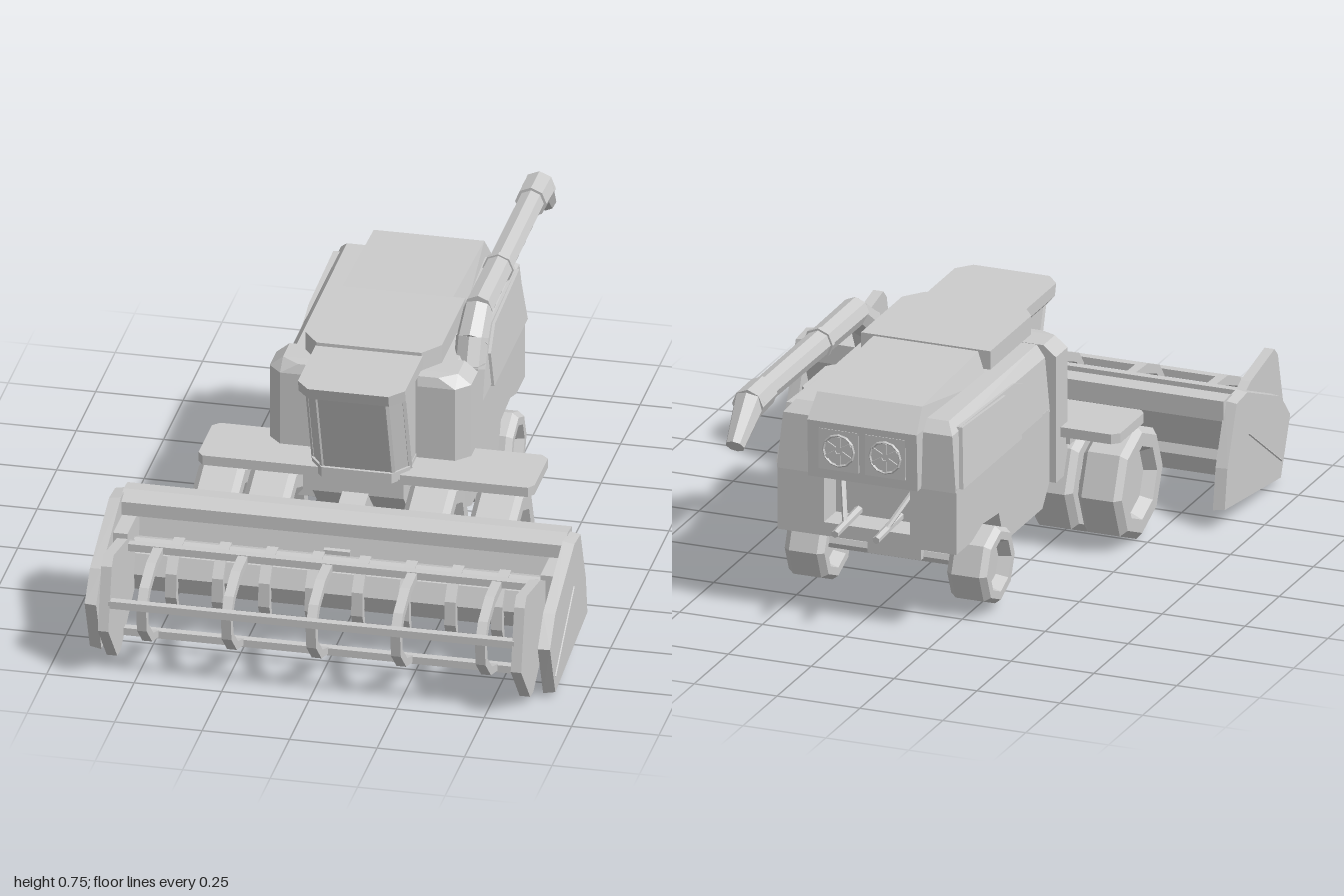
import * as THREE from 'three';
import { ConvexGeometry } from 'three/addons/geometries/ConvexGeometry.js';

const mat = new THREE.MeshStandardMaterial({ color: 0xcccccc, flatShading: true });
const V = (x, y, z) => new THREE.Vector3(x, y, z);

function add(parent, name, geo) {
  const m = new THREE.Mesh(geo, mat);
  m.name = name;
  parent.add(m);
  return m;
}
// Box given by its limits on each axis
function box(parent, name, x0, x1, y0, y1, z0, z1) {
  const m = add(parent, name, new THREE.BoxGeometry(x1 - x0, y1 - y0, z1 - z0));
  m.position.set((x0 + x1) / 2, (y0 + y1) / 2, (z0 + z1) / 2);
  return m;
}
// Side profile of [z, y] points, extruded from x0 to x1
function prism(parent, name, pts, x0, x1) {
  const shape = new THREE.Shape(pts.map(p => new THREE.Vector2(p[0], p[1])));
  const g = new THREE.ExtrudeGeometry(shape, { depth: x1 - x0, bevelEnabled: false });
  g.rotateY(-Math.PI / 2).translate(x1, 0, 0);
  return add(parent, name, g);
}
// Convex solid from [x, y, z] points, mirrored in x
function hull(parent, name, pts) {
  return add(parent, name, new ConvexGeometry(pts.flatMap(([x, y, z]) => [V(x, y, z), V(-x, y, z)])));
}
// Straight round bar between two points
function rod(parent, name, a, b, r0, r1 = r0, sides = 8) {
  const d = b.clone().sub(a);
  const m = add(parent, name, new THREE.CylinderGeometry(r1, r0, d.length(), sides));
  m.position.copy(a).add(b).multiplyScalar(0.5);
  m.quaternion.setFromUnitVectors(V(0, 1, 0), d.normalize());
  return m;
}
// Octagonal wheel with a dished rim
function wheel(parent, name, x, y, z, r, w, rim) {
  const h = w / 2, d = 0.035;
  const half = [[0, h - d], [rim * 0.85, h - d], [rim, h], [r * 0.88, h], [r, h - 0.018]];
  const pts = [...half.map(p => [p[0], -p[1]]), ...half.reverse()];
  add(parent, name, new THREE.LatheGeometry(pts.map(p => new THREE.Vector2(p[0], p[1])), 8).rotateZ(Math.PI / 2))
    .position.set(x, y, z);
}

function buildHeader() {
  const h = new THREE.Group();
  h.name = 'header';
  // Back wall with top beam, sloping down to the drum
  prism(h, 'backWall', [[0.48, 0.36], [0.48, 0.3], [0.53, 0.18], [0.545, 0.19], [0.515, 0.29],
    [0.575, 0.305], [0.575, 0.345], [0.53, 0.365]], -0.635, 0.635);
  rod(h, 'augerDrum', V(-0.6, 0.17, 0.59), V(0.6, 0.17, 0.59), 0.078);
  // Curved drum fingers
  for (let i = 0; i < 8; i++) {
    const x = -0.465 + i * 0.133;
    prism(h, 'drumFinger', [[0.57, 0.25], [0.64, 0.245], [0.685, 0.19], [0.69, 0.12], [0.66, 0.065],
      [0.65, 0.07], [0.665, 0.13], [0.65, 0.18], [0.62, 0.21], [0.57, 0.22]], x - 0.016, x + 0.016);
  }
  // Reel rails and the curved arms that join them
  for (const [y, z] of [[0.29, 0.73], [0.225, 0.965], [0.055, 0.785]])
    box(h, 'reelRail', -0.58, 0.58, y - 0.011, y + 0.011, z - 0.012, z + 0.012);
  for (let i = -2; i <= 2; i++) {
    const x = i * 0.242 - 0.005;
    prism(h, 'reelArm', [[0.72, 0.3], [0.83, 0.295], [0.92, 0.26], [0.96, 0.21], [0.95, 0.14], [0.88, 0.075],
      [0.785, 0.045], [0.785, 0.065], [0.865, 0.095], [0.925, 0.15], [0.93, 0.205], [0.9, 0.24],
      [0.82, 0.27], [0.72, 0.275]], x - 0.014, x + 0.014);
  }
  // End plates and outer shields
  for (const s of [-1, 1]) {
    const span = (a, b) => s > 0 ? [a, b] : [-b, -a];
    prism(h, 'endPlate', [[0.995, 0.15], [0.95, 0.33], [0.925, 0.355], [0.75, 0.32], [0.65, 0.27],
      [0.66, 0.12], [0.84, 0.015], [0.88, 0.02]], ...span(0.575, 0.605));
    const ring = [[0.9, 0.18], [0.83, 0.26], [0.58, 0.362], [0.5, 0.355], [0.43, 0.18], [0.41, 0.06], [0.83, 0.01], [0.85, 0.07]];
    const pts = ring.flatMap(([z, y]) => [V(s * 0.631, y, z),
      V(s * 0.665, 0.18 + (y - 0.18) * 0.97, 0.64 + (z - 0.64) * 0.98)]);
    add(h, 'sideShield', new ConvexGeometry(pts));
    rod(h, 'shieldRidge', V(s * 0.664, 0.065, 0.83), V(s * 0.664, 0.23, 0.59), 0.004, 0.004, 4);
    box(h, 'plateLink', ...span(0.59, 0.635), 0.18, 0.3, 0.53, 0.68);
  }
  return h;
}

function buildBody() {
  const b = new THREE.Group();
  b.name = 'body';
  // Lower hull: core plus side walls that leave a recess at the back
  const low = back => [[0.05, 0.44], [0.05, 0.22], [0, 0.16], [-0.28, 0.16], [-0.32, 0.26], [-0.44, 0.27],
    [-0.52, 0.245], [back, 0.245], [back, 0.44]];
  prism(b, 'lowerBody', low(-0.54), -0.2, 0.2);
  for (const [a, c] of [[-0.27, -0.13], [0.13, 0.27]]) prism(b, 'sideWall', low(-0.63), a, c);
  box(b, 'rearSill', -0.13, 0.13, 0.245, 0.285, -0.63, -0.53);
  // Upper hull, tapering inward
  hull(b, 'upperBody', [[0.27, 0.43, 0.06], [0.27, 0.43, -0.635], [0.255, 0.595, -0.625],
    [0.255, 0.59, 0.06], [0.23, 0.625, -0.59], [0.23, 0.625, 0.06]]);
  hull(b, 'rearHump', [[0.165, 0.43, -0.66], [0.165, 0.6, -0.667], [0.158, 0.665, -0.61], [0.158, 0.685, -0.2],
    [0.185, 0.6, -0.2], [0.165, 0.43, -0.55]]);
  hull(b, 'tankRoof', [[0.195, 0.635, -0.2], [0.195, 0.69, -0.2], [0.195, 0.69, 0.1], [0.195, 0.635, 0.1],
    [0.15, 0.69, 0.16], [0.15, 0.635, 0.16]]);
  hull(b, 'shoulder', [[0.288, 0.22, 0.055], [0.288, 0.595, 0.055], [0.25, 0.626, 0.055], [0.25, 0.626, 0.14],
    [0.288, 0.595, 0.14], [0.288, 0.22, 0.14], [0.25, 0.22, 0.18], [0.25, 0.595, 0.18], [0.2, 0.622, 0.17]]);
  // Raised side covers
  for (const s of [-1, 1]) {
    const cover = (name, ring, inner, outer) => add(b, name, new ConvexGeometry(ring.flatMap(([z, y]) =>
      [V(s * inner, y, z), V(s * (outer - (y - 0.44) * 0.1), y, z)])));
    cover('sideCover', [[-0.01, 0.44], [-0.02, 0.54], [-0.18, 0.595], [-0.57, 0.605], [-0.61, 0.44]], 0.24, 0.274);
    cover('sidePanel', [[-0.18, 0.435], [-0.18, 0.535], [-0.26, 0.59], [-0.575, 0.605], [-0.61, 0.435]], 0.24, 0.282);
  }
  // Fans on the back
  for (const s of [-1, 1]) {
    const f = new THREE.Group();
    f.name = 'rearFan';
    box(f, 'fanPanel', -0.06, 0.06, -0.06, 0.06, -0.01, 0.006);
    add(f, 'fanRing', new THREE.TorusGeometry(0.046, 0.005, 4, 12)).position.z = -0.009;
    for (let i = 0; i < 6; i++) {
      const blade = box(f, 'fanBlade', -0.006, 0.006, -0.017, 0.017, -0.014, -0.006);
      blade.geometry.translate(0, 0.025, 0);
      blade.rotation.z = i * Math.PI / 3;
    }
    f.position.set(s * 0.07, 0.52, -0.658);
    b.add(f);
    // Hitch stubs in the recess
    rod(b, 'hitchStub', V(s * 0.062, 0.3, -0.54), V(s * 0.062, 0.288, -0.715), 0.013, 0.011, 6);
    rod(b, 'hitchBrace', V(s * 0.11, 0.39, -0.54), V(s * 0.062, 0.295, -0.64), 0.008, 0.008, 6);
  }
  // Undercarriage and feeder
  box(b, 'frontAxleCase', -0.15, 0.13, 0.125, 0.24, 0, 0.12);
  rod(b, 'frontAxle', V(-0.4, 0.17, 0.262), V(0.4, 0.17, 0.262), 0.04);
  rod(b, 'rearAxle', V(-0.25, 0.135, -0.39), V(0.25, 0.135, -0.39), 0.022);
  box(b, 'rearAxleMount', -0.08, 0.08, 0.13, 0.28, -0.43, -0.34);
  prism(b, 'chassis', [[0.06, 0.36], [0.3, 0.36], [0.3, 0.3], [0.2, 0.2], [0.06, 0.16]], -0.13, 0.13);
  prism(b, 'feederHouse', [[0.1, 0.3], [0.25, 0.32], [0.54, 0.24], [0.54, 0.11], [0.1, 0.14]], -0.045, 0.03);
  // Platforms over the front wheels
  for (const s of [-1, 1]) {
    const shift = 0.02;
    const pts = [[0.1, 0.09], [0.46, 0.09], [0.48, 0.11], [0.48, 0.28], [0.465, 0.3], [0.1, 0.3]];
    add(b, 'platform', new ConvexGeometry(pts.flatMap(([x, z]) => [V(s * x + shift, 0.345, z), V(s * x + shift, 0.374, z)])));
    box(b, 'platformBracket', s > 0 ? 0.2 : -0.3, s > 0 ? 0.3 : -0.2, 0.31, 0.35, 0.13, 0.19);
  }
  return b;
}

function buildCab() {
  const c = new THREE.Group();
  c.name = 'cab';
  hull(c, 'cabGlass', [[0.138, 0.64, 0.15], [0.138, 0.64, 0.34], [0.1, 0.64, 0.395], [0.138, 0.37, 0.15],
    [0.138, 0.37, 0.25], [0.1, 0.37, 0.305]]);
  const roof = [[0.153, 0.15], [0.153, 0.385], [0.115, 0.43]];
  hull(c, 'cabRoof', roof.flatMap(([x, z]) => [[x, 0.645, z - 0.01], [x, 0.68, z], [x * 0.95, 0.635, z - 0.03]]));
  hull(c, 'cabFloor', [[0.14, 0.355, 0.1], [0.14, 0.385, 0.1], [0.14, 0.355, 0.265], [0.14, 0.385, 0.265],
    [0.1, 0.355, 0.32], [0.1, 0.385, 0.32]]);
  // Corner pillars
  for (const s of [-1, 1]) {
    rod(c, 'cabPillar', V(s * 0.1, 0.375, 0.303), V(s * 0.1, 0.645, 0.393), 0.008, 0.008, 4);
    rod(c, 'cabPillar', V(s * 0.136, 0.375, 0.25), V(s * 0.136, 0.645, 0.338), 0.008, 0.008, 4);
    box(c, 'doorFrame', s > 0 ? 0.12 : -0.143, s > 0 ? 0.143 : -0.12, 0.37, 0.64, 0.15, 0.18);
  }
  return c;
}

function buildSpout() {
  const u = new THREE.Group();
  u.name = 'unloadingSpout';
  const x = 0.237;
  // Elbow, long tube and drooping tip
  const parts = [
    [0.42, 0.01, 0.035, 0.6, 0.005, 0.045], [0.58, 0.008, 0.046, 0.66, -0.03, 0.046],
    [0.645, -0.02, 0.046, 0.71, -0.11, 0.042], [0.71, -0.1, 0.042, 0.71, -0.37, 0.04],
    [0.71, -0.36, 0.045, 0.71, -0.375, 0.045], [0.71, -0.37, 0.039, 0.712, -0.8, 0.037],
    [0.712, -0.78, 0.045, 0.708, -0.89, 0.047], [0.715, -0.87, 0.046, 0.618, -0.982, 0.028]];
  for (const [y0, z0, r0, y1, z1, r1] of parts) rod(u, 'spoutSection', V(x, y0, z0), V(x, y1, z1), r0, r1);
  return u;
}

export function createModel() {
  const model = new THREE.Group();
  const vehicle = new THREE.Group();
  vehicle.name = 'vehicle';
  vehicle.position.x = -0.016;
  vehicle.add(buildBody(), buildCab());
  for (const s of [-1, 1]) {
    wheel(vehicle, 'frontOuterWheel', s * 0.397, 0.172, 0.262, 0.17, 0.132, 0.11);
    wheel(vehicle, 'frontInnerWheel', s > 0 ? 0.207 : -0.25, 0.172, 0.262, 0.17, 0.132, 0.11);
    wheel(vehicle, 'rearWheel', s * 0.245, 0.134, -0.39, 0.116, 0.12, 0.078);
  }
  model.add(vehicle, buildHeader(), buildSpout());
  return model;
}
